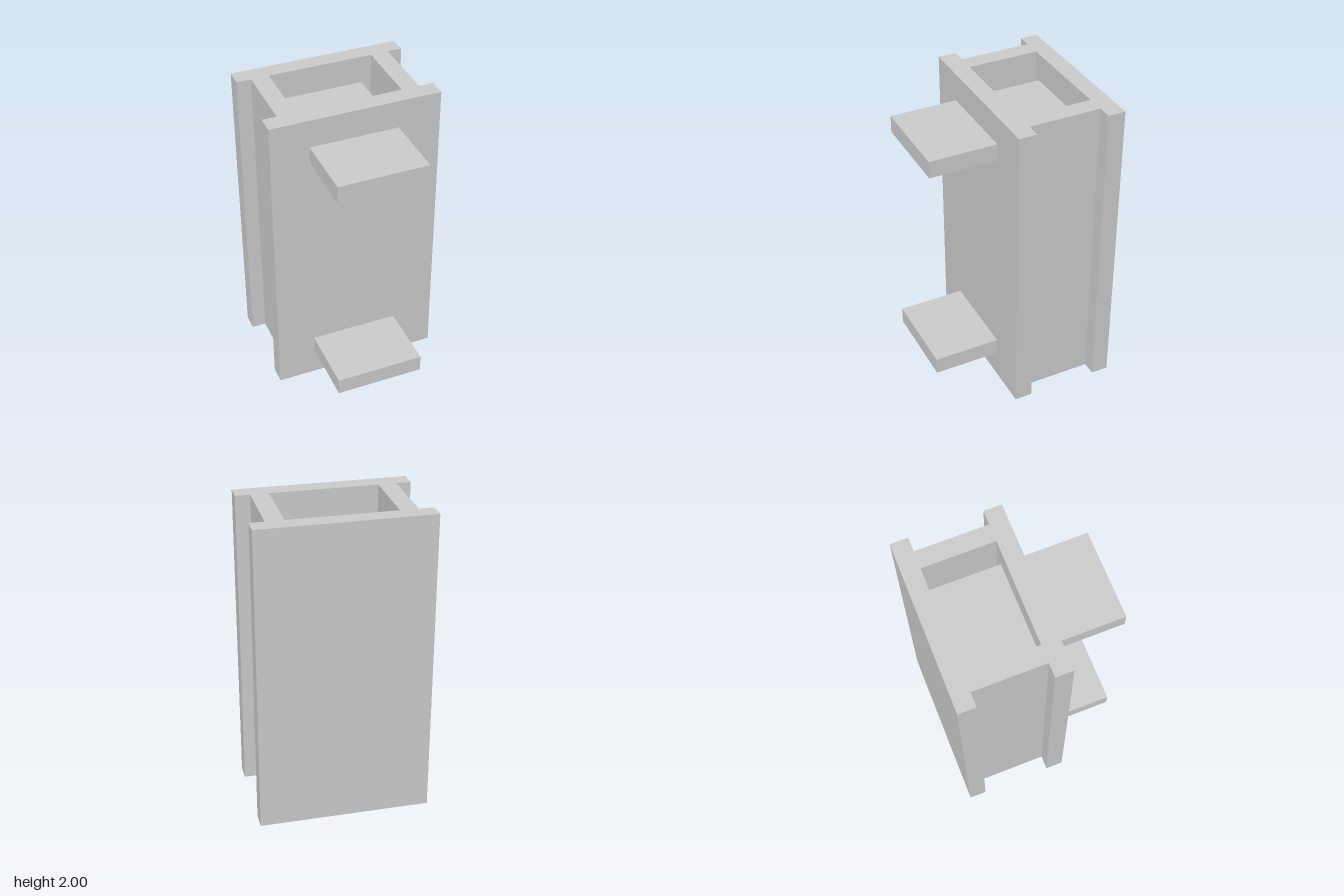
import * as THREE from 'three';

export function createModel() {
  const group = new THREE.Group();
  const material = new THREE.MeshStandardMaterial({ color: 0xcccccc });
  const add = (name, geometry, x, y, z) => {
    const mesh = new THREE.Mesh(geometry, material);
    mesh.name = name;
    mesh.position.set(x, y, z);
    group.add(mesh);
    return mesh;
  };

  // Hollow flanged column: plan outline drawn with shape y = -z, extruded upward
  const flangeX = 0.55, webX = 0.457, boreX = 0.342;
  const backZ = -0.565, backInnerZ = -0.452, frontInnerZ = 0.012, frontZ = 0.128;
  const half = [
    [flangeX, frontZ], [flangeX, frontInnerZ], [webX, frontInnerZ],
    [webX, backInnerZ], [flangeX, backInnerZ], [flangeX, backZ],
  ];
  const mirrored = half.map(([x, z]) => [-x, z]).reverse();
  const toPoints = (list) => list.map(([x, z]) => new THREE.Vector2(x, -z));
  const outline = new THREE.Shape(toPoints([...half, ...mirrored]));
  outline.holes.push(new THREE.Path(toPoints([
    [-boreX, frontInnerZ], [-boreX, backInnerZ], [boreX, backInnerZ], [boreX, frontInnerZ],
  ])));
  const column = new THREE.ExtrudeGeometry(outline, { depth: 2, bevelEnabled: false });
  column.rotateX(-Math.PI / 2);
  add('flangedColumn', column, 0, 0, 0);

  // Two flat bars crossing the bore and sticking out of the front
  const barLength = 0.565 - backInnerZ;
  for (const [name, y] of [['lowerBar', 0.245], ['upperBar', 1.76]]) {
    add(name, new THREE.BoxGeometry(0.577, 0.112, barLength), -0.0125, y, backInnerZ + barLength / 2);
  }

  // Round core lying across the bore between the bars
  const coreLength = frontInnerZ - backInnerZ;
  const core = new THREE.CylinderGeometry(boreX, boreX, coreLength, 48);
  core.rotateX(Math.PI / 2);
  add('innerCore', core, 0, 1, (frontInnerZ + backInnerZ) / 2);

  return group;
}
